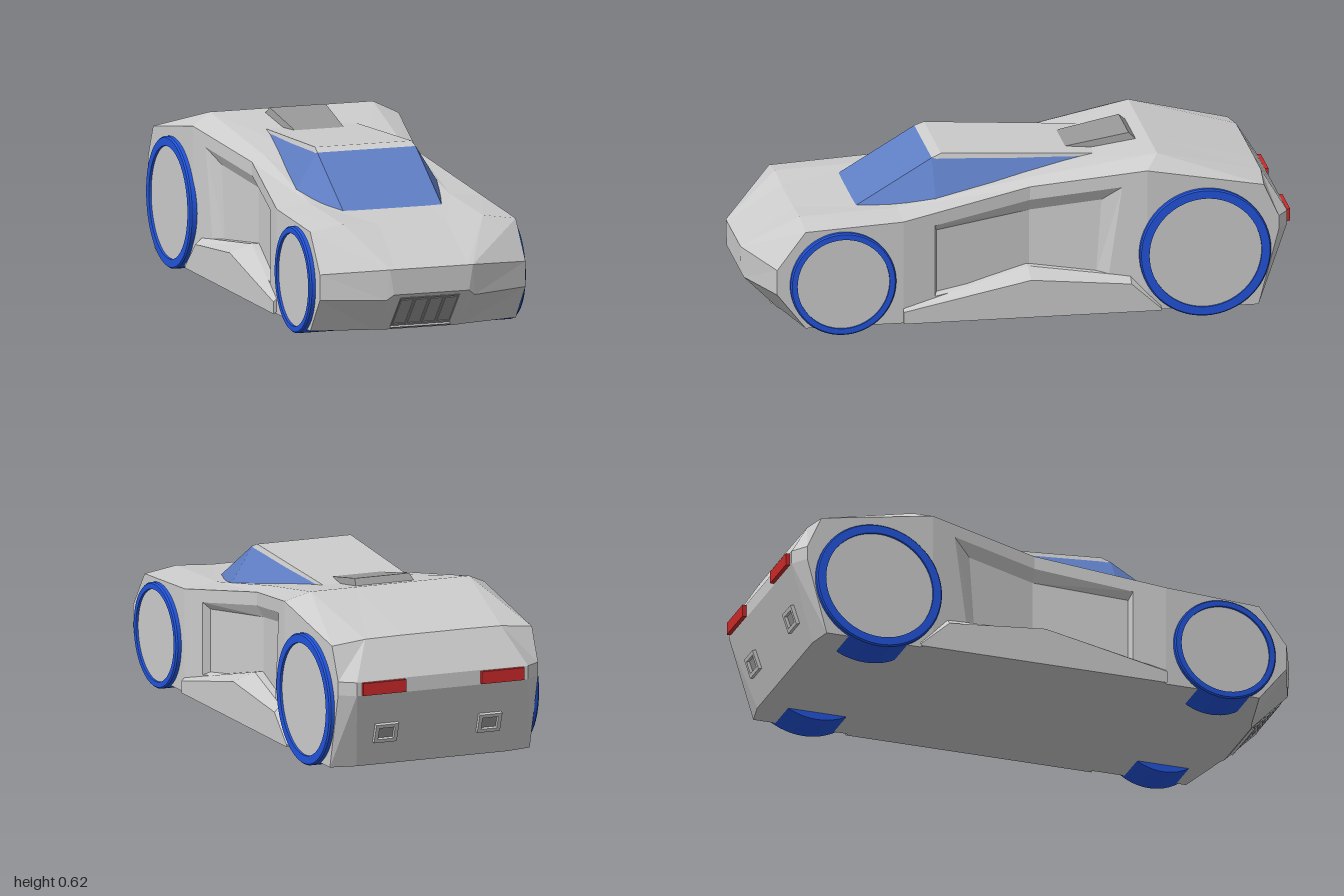
import * as THREE from 'three';

const mat = (name, color, side = THREE.FrontSide) =>
  Object.assign(new THREE.MeshStandardMaterial({ color, flatShading: true, side }), { name });

// Flat-faced geometry from polygons [[x,y,z],...] on the +x half, mirrored to -x
function mirrored(polys) {
  const pos = [];
  for (const p of polys) {
    for (let i = 1; i < p.length - 1; i++) {
      const tri = [p[0], p[i], p[i + 1]];
      tri.forEach(v => pos.push(...v));
      tri.reverse().forEach(([x, y, z]) => pos.push(-x, y, z));
    }
  }
  const g = new THREE.BufferGeometry();
  g.setAttribute('position', new THREE.Float32BufferAttribute(pos, 3));
  g.computeVertexNormals();
  return g;
}

// Quads between rows running nose to tail, each row running outward from the centre
function sheet(rows) {
  const polys = [];
  for (let i = 0; i < rows.length - 1; i++)
    for (let j = 0; j < rows[i].length - 1; j++)
      polys.push([rows[i][j], rows[i][j + 1], rows[i + 1][j + 1], rows[i + 1][j]]);
  return polys;
}

export function createModel() {
  const car = new THREE.Group();
  car.name = 'sportsCar';
  const paint = mat('bodyGrey', 0xcccccc, THREE.DoubleSide);
  const dark = mat('trimGrey', 0x989898, THREE.DoubleSide);
  const glass = mat('glassBlue', 0x5f7ec4, THREE.DoubleSide);
  const tyreBlue = mat('tyreBlue', 0x2255dd);
  const red = mat('lampRed', 0xcc2a2a);
  const add = (name, geo, m, parent = car) => {
    const mesh = new THREE.Mesh(geo, m);
    mesh.name = name;
    parent.add(mesh);
    return mesh;
  };
  const box = (w, h, d, x = 0, y = 0, z = 0) => new THREE.BoxGeometry(w, h, d).translate(x, y, z);

  // Upper shell: nose, hood, deck and tail as one faceted sheet
  const shell = [
    [[.145, .03, .86], [.17, .03, .85], [.397, .03, .80]],
    [[.145, .183, 1], [.17, .163, .99], [.397, .163, .905]],
    [[.14, .277, 1], [.16, .277, 1], [.397, .257, .905]],
    [[.13, .407, .80], [.27, .417, .80], [.397, .397, .80]],
    [[.13, .43, .44], [.27, .432, .44], [.397, .417, .44]],
    [[.13, .525, -.04], [.27, .52, -.04], [.32, .5, -.04]],
    [[.13, .602, -.51], [.315, .602, -.51], [.397, .563, -.46]],
    [[.13, .505, -.9], [.27, .503, -.9], [.397, .487, -.89]],
    [[.13, .367, -.985], [.34, .365, -.985], [.397, .365, -.945]],
    [[.13, .313, -.985], [.34, .315, -.985], [.397, .315, -.945]],
    [[.13, .03, -.89], [.3, .03, -.89], [.397, .03, -.87]],
  ].map(r => [[0, r[0][1], r[0][2]], ...r]);
  add('bodyShell', mirrored(sheet(shell)), paint);

  // Flat flanks beside the wheels
  const side = pts => pts.map(([z, y]) => [.397, y, z]);
  add('wheelFlanks', mirrored([
    side([[.44, .03], [.44, .417], [.8, .397], [.905, .257], [.905, .163], [.8, .03]]),
    side([[-.87, .03], [-.945, .315], [-.945, .365], [-.89, .487], [-.46, .563], [-.46, .03]]),
  ]), paint);

  // Pinched doors with a sunken pocket
  const flankX = z => .397 - .077 * (1 - Math.abs(z + .04) / (z > -.04 ? .48 : .42));
  const ring = (pts, sink) => pts.map(([z, y]) => [flankX(z) - sink, y, z]);
  const rings = [
    ring([[.44, .417], [-.04, .5], [-.46, .563], [-.46, .03], [-.04, .03], [.44, .03]], 0),
    ring([[.32, .39], [-.04, .45], [-.37, .5], [-.32, .15], [-.04, .17], [.32, .12]], 0),
    ring([[.31, .365], [-.04, .405], [-.3, .445], [-.28, .16], [-.04, .18], [.31, .13]], .025),
  ];
  const door = [];
  for (let r = 0; r < 2; r++)
    for (let k = 0; k < 6; k++) {
      const n = (k + 1) % 6;
      door.push([rings[r][k], rings[r + 1][k], rings[r + 1][n], rings[r][n]]);
    }
  const [t0, t1, t2, b2, b1, b0] = rings[2];
  door.push([b1, t1, t0, b0], [b2, t2, t1, b1]);
  add('doors', mirrored(door), paint);

  // Side sills: outer wall, then a bevel running in to the doors
  const sill = [
    [[.30, .09, .44], [.397, .085, .44], [.41, .075, .44], [.41, .03, .44]],
    [[.29, .2, -.03], [.325, .2, -.03], [.41, .172, -.03], [.41, .03, -.03]],
    [[.30, .16, -.4], [.385, .16, -.4], [.41, .137, -.4], [.41, .03, -.4]],
    [[.30, .05, -.51], [.397, .045, -.51], [.41, .038, -.51], [.41, .03, -.51]],
  ];
  add('sills', mirrored([...sheet(sill), [...sill[0]].reverse()]), paint);

  // Underside
  const floor = [[.86, .145], [.85, .17], [.8, .397], [.44, .397], [.43, .41], [-.5, .41],
    [-.51, .397], [-.87, .397], [-.89, .3]].map(([z, x]) => [[x, .03, z], [0, .03, z]]);
  add('floor', mirrored(sheet(floor)), paint);

  // Cabin glass and roof
  const base = [.19, .412, .595], brow = [.19, .588, .3], hip = [.274, .453, .3];
  add('cabinGlass', mirrored([
    [[0, .412, .595], base, brow, [0, .588, .3]],
    [base, hip, brow],
    [brow, hip, [.175, .558, -.3]],
  ]), glass);
  add('roof', mirrored(sheet([
    [[0, .588, .3], [.19, .588, .3], [.192, .582, .3]],
    [[0, .602, .265], [.186, .602, .265], [.192, .584, .265]],
    [[0, .568, -.3], [.173, .568, -.3], [.177, .552, -.3]],
  ])), paint);

  // Engine scoop
  add('engineScoop', mirrored(sheet([
    [[0, .545, -.195], [.095, .545, -.195], [.1, .53, -.195]],
    [[0, .573, -.205], [.095, .573, -.205], [.1, .54, -.205]],
    [[0, .617, -.44], [.108, .617, -.44], [.118, .575, -.44]],
    [[0, .594, -.465], [.116, .594, -.465], [.12, .575, -.465]],
  ])), dark);

  // Wheels: blue tyre with a flat grey disc
  for (const [axle, R, rim, y, z] of [['front', .195, .17, .197, .663], ['rear', .242, .207, .244, -.672]])
    for (const s of [1, -1]) {
      const wheel = new THREE.Group();
      wheel.name = axle + (s > 0 ? 'LeftWheel' : 'RightWheel');
      const profile = [[0, .26], [R, .26], [R, .411], [R - .005, .417], [rim, .417], [rim, .4]]
        .map(p => new THREE.Vector2(...p));
      add('tyre', new THREE.LatheGeometry(profile, 64).rotateZ(-Math.PI / 2), tyreBlue, wheel);
      add('wheelDisc', new THREE.CircleGeometry(rim, 64).rotateY(Math.PI / 2).translate(.408, 0, 0), paint, wheel);
      wheel.position.set(0, y, z);
      wheel.rotation.y = s > 0 ? 0 : Math.PI;
      car.add(wheel);
    }

  // Rectangular frame lying in the local xy plane
  const frame = (w, h, border, depth) => {
    const rect = (C, a, b) => new C([[-a, -b], [a, -b], [a, b], [-a, b]].map(p => new THREE.Vector2(...p)));
    const shape = rect(THREE.Shape, w / 2, h / 2);
    shape.holes.push(rect(THREE.Path, w / 2 - border, h / 2 - border));
    return new THREE.ExtrudeGeometry(shape, { depth, bevelEnabled: false });
  };
  const mount = (name, x, y, z, ny, nz) => {
    const g = new THREE.Group();
    g.name = name;
    g.position.set(x, y, z);
    g.lookAt(x, y + ny, z + nz);
    car.add(g);
    return g;
  };

  // Front grille with four panels and a pale lip
  const grille = mount('grille', 0, .1065, .93, -.676, .739);
  add('grilleBack', box(.23, .168, .004), dark, grille);
  for (let i = 0; i < 4; i++)
    add('grillePanel', frame(.051, .146, .003, .005).translate((i - 1.5) * .057, .003, 0), dark, grille);
  add('grilleLip', box(.23, .006, .012, 0, -.084, .003), paint, grille);

  // Tail lamps and exhausts
  for (const s of [1, -1]) {
    add('tailLamp', box(.17, .046, .018, s * .235, .34, -.991), red);
    const exhaust = mount('exhaust', s * .205, .16, -.933, -.316, -.949);
    add('exhaustFrame', frame(.09, .075, .014, .014), paint, exhaust);
    add('exhaustBack', box(.07, .055, .004), dark, exhaust);
  }
  return car;
}
